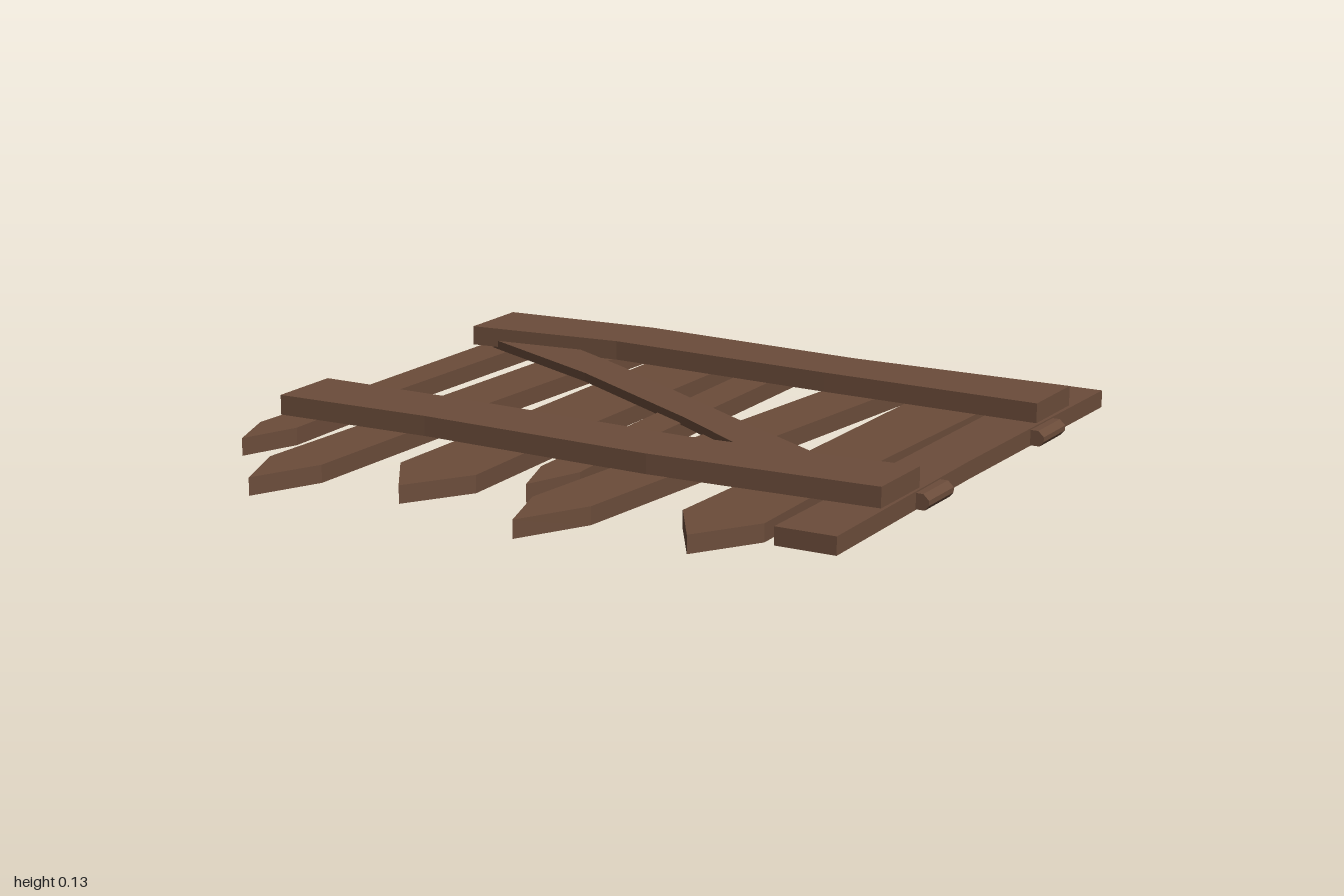
import * as THREE from 'three';

const wood = new THREE.MeshStandardMaterial({ color: 0x6b4c3a });
wood.name = 'brown wood';

// Flat board from an outline of [x, z] points, lying between two heights; slope tilts it along z
function board(name, outline, bottom, thickness, slope = 0) {
  const shape = new THREE.Shape(outline.map(([x, z]) => new THREE.Vector2(x, -z)));
  const geo = new THREE.ExtrudeGeometry(shape, { depth: thickness, bevelEnabled: false });
  geo.rotateX(-Math.PI / 2);
  const p = geo.attributes.position;
  for (let i = 0; i < p.count; i++) p.setY(i, p.getY(i) + bottom + slope * p.getZ(i));
  geo.computeVertexNormals();
  const mesh = new THREE.Mesh(geo, wood);
  mesh.name = name;
  return mesh;
}

export function createModel() {
  const group = new THREE.Group();
  group.name = 'gate';

  // Upright pickets: back end, waist, front shoulder as [left x, right x, z], then the tip
  const pickets = [
    { rows: [[-0.96, -0.835, -1], [-0.955, -0.85, 0.2], [-0.965, -0.84, 0.52]], tip: [-0.9, 0.69], y: [0.01, 0.025] },
    { rows: [[-0.68, -0.505, -0.945], [-0.71, -0.55, 0.2], [-0.73, -0.56, 0.79]], tip: [-0.65, 0.99], y: [0.01, 0.02] },
    { rows: [[-0.415, -0.18, -0.98], [-0.39, -0.165, 0.2], [-0.385, -0.145, 0.675]], tip: [-0.26, 0.865], y: [0.005, 0.025] },
    { rows: [[-0.085, 0.035, -0.95], [-0.05, 0.06, 0.2], [-0.04, 0.08, 0.52]], tip: [0.02, 0.69], y: [0.018, 0.025] },
    { rows: [[0.255, 0.43, -0.98], [0.15, 0.325, 0.2], [0.1, 0.275, 0.785]], tip: [0.17, 0.99], y: [0.015, 0.027] },
    { rows: [[0.465, 0.7, -0.97], [0.485, 0.695, 0.2], [0.48, 0.715, 0.675]], tip: [0.6, 0.865], y: [0, 0.022] },
    { rows: [[0.75, 0.925, -1], [0.75, 0.915, -0.1], [0.75, 0.925, 0.69]], tip: null, y: [0.02, 0.02] },
  ];
  pickets.forEach(({ rows, tip, y }, i) => {
    const outline = rows.map(([l, , z]) => [l, z]);
    if (tip) outline.push(tip);
    outline.push(...rows.map(([, r, z]) => [r, z]).reverse());
    group.add(board(`picket${i + 1}`, outline, (y[0] + y[1]) / 2, 0.05, (y[1] - y[0]) / 2));
  });

  // Crooked cross rails
  group.add(board('backRail', [
    [-0.96, -0.78], [-0.48, -0.815], [0.24, -0.77], [0.915, -0.78],
    [0.915, -0.55], [0.24, -0.57], [-0.48, -0.605], [-0.96, -0.555],
  ], 0.073, 0.057));
  group.add(board('frontRail', [
    [-0.96, 0.205], [-0.48, 0.21], [0.24, 0.245], [0.915, 0.2],
    [0.915, 0.425], [0.24, 0.45], [-0.48, 0.42], [-0.96, 0.43],
  ], 0.073, 0.057));

  // Thin diagonal brace, its ends tucked into the rails
  group.add(board('diagonalBrace', [
    [-0.9, -0.575], [-0.62, -0.605], [-0.385, -0.475], [0.19, -0.12], [0.745, 0.21],
    [0.7, 0.24], [0.5, 0.235], [0.08, -0.045], [-0.435, -0.35],
  ], 0.066, 0.026));

  // Hinge knuckles on the side edge
  const profile = [[0.905, 0.022], [0.945, 0.022], [0.957, 0.036], [0.957, 0.05], [0.94, 0.066], [0.905, 0.066]];
  [[-0.65, 'backHinge', 0.003], [0.08, 'frontHinge', 0]].forEach(([z, name, dx]) => {
    const shape = new THREE.Shape(profile.map(([x, y]) => new THREE.Vector2(x, y)));
    const hinge = new THREE.Mesh(new THREE.ExtrudeGeometry(shape, { depth: 0.15, bevelEnabled: false }), wood);
    hinge.name = name;
    hinge.position.set(dx, 0, z);
    group.add(hinge);
  });

  return group;
}
